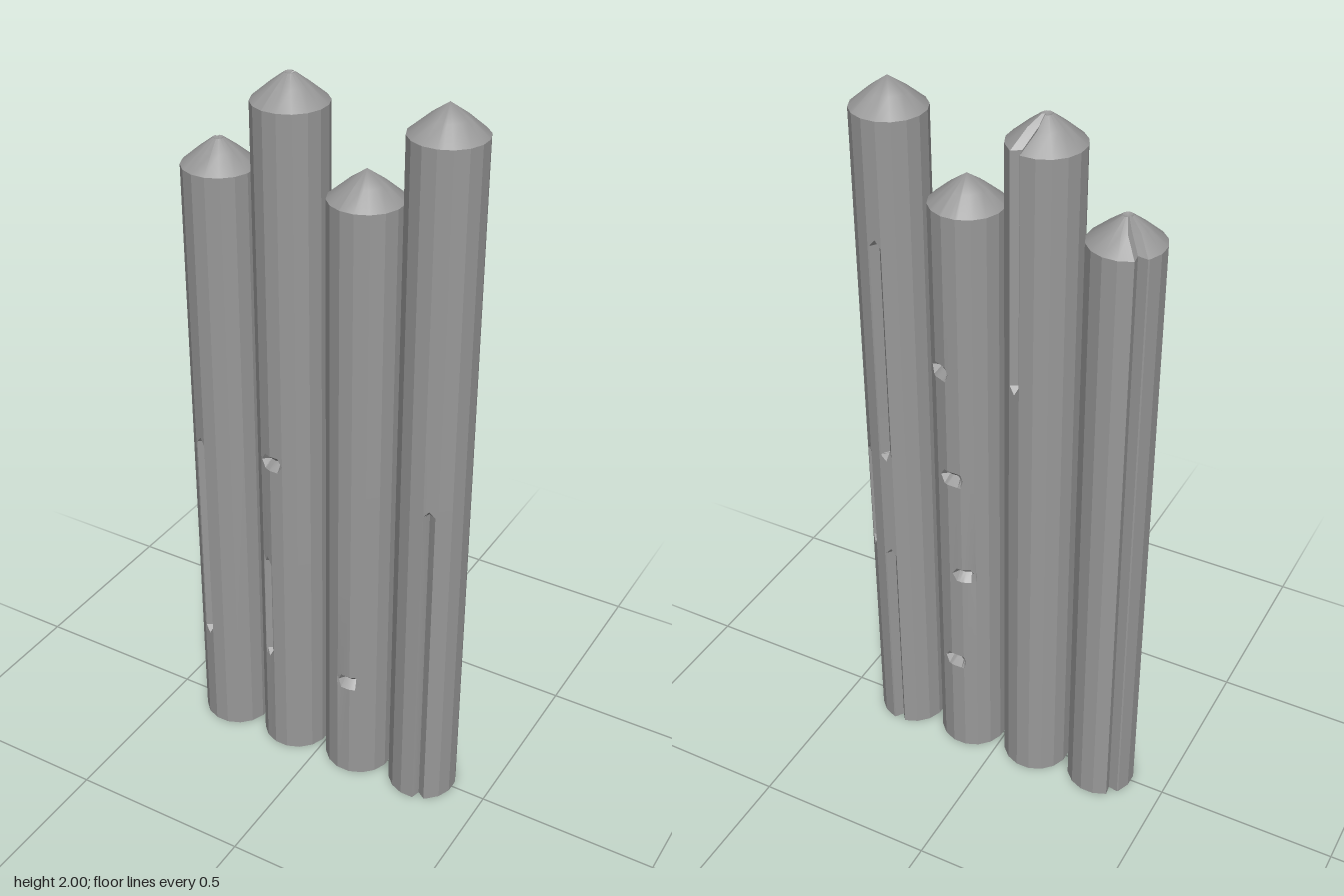
import * as THREE from 'three';
import { toCreasedNormals } from 'three/addons/utils/BufferGeometryUtils.js';

const R = 0.096, SIDES = 16, STEP = Math.PI * 2 / SIDES, TOP = 9;
const HALF = 0.17, DEEP = 0.022;
const rad = THREE.MathUtils.degToRad;
const clamp = v => THREE.MathUtils.clamp(v, 0, 1);
const turn = a => THREE.MathUtils.euclideanModulo(a, Math.PI * 2);
const signed = a => turn(a + Math.PI) - Math.PI;
const unique = list => [...list].sort((p, q) => p - q).filter((v, i, l) => i === 0 || v - l[i - 1] > 1e-4);

// Angles are in degrees from the front (+z) towards +x.
// Upright V groove from y0 to y1; pointed ends unless it runs off the post.
const groove = (deg, y0, y1) => ({
  a: rad(deg), angles: [-HALF, 0, HALF], open: y1 === TOP,
  ys: [y0, y0 + 0.02, y1 - 0.02, y1],
  depth: (da, y) => DEEP * clamp(1 - Math.abs(da) / HALF)
    * (y0 > 0 ? clamp((y - y0) / 0.02) : 1) * clamp((y1 - y) / 0.02)
});
// Short sideways V notch with a six-sided outline.
const notch = (deg, y0) => ({
  a: rad(deg), angles: [-0.37, -0.22, 0.22, 0.37], open: false,
  ys: [y0 - 0.022, y0, y0 + 0.022],
  depth: (da, y) => DEEP * clamp(Math.min(1, (0.37 - Math.abs(da)) / 0.15) - Math.abs(y - y0) / 0.022)
});

// Radius of the many-sided post at angle t (corners at half steps)
const polygonRadius = t => R * Math.cos(STEP / 2) / Math.cos(t - Math.round(t / STEP) * STEP);

// Keeps an open groove from narrowing too fast as the tip shrinks by s
function spread(t, cut, s) {
  const da = signed(t - cut.a), size = Math.abs(da);
  const wide = Math.min(HALF / s, 0.4);
  if (size >= 1) return t;
  const moved = size <= HALF ? size * wide / HALF : wide + (size - HALF) * (1 - wide) / (1 - HALF);
  return cut.a + Math.sign(da) * moved;
}

function postGeometry(rim, cuts) {
  const openCut = cuts.find(c => c.open);
  // Columns: the corners of the post plus the edges of each cut
  const angles = [];
  for (let i = 0; i < SIDES; i++) angles.push((i + 0.5) * STEP);
  cuts.forEach(c => c.angles.forEach(d => angles.push(turn(c.a + d))));
  const cols = unique(angles);
  // Rows of [height, scale]: base, shaft, then the sharpened tip
  const ys = [0, rim];
  cuts.forEach(c => c.ys.forEach(y => { if (y > 0 && y < rim) ys.push(y); }));
  const rows = [[0, 0], ...unique(ys).map(y => [y, 1]), [rim + 0.041, 0.5]];
  if (openCut) rows.push([rim + 0.067, 0.14], [rim + 0.06, 0]);
  else rows.push([rim + 0.075, 0]);

  const pos = [], deep = [], index = [], n = cols.length;
  for (const [y, s] of rows) {
    for (const t of cols) {
      const angle = openCut && s > 0 && s < 1 ? spread(t, openCut, s) : t;
      const cut = cuts.reduce((sum, c) => sum + c.depth(signed(t - c.a), y), 0);
      const r = (polygonRadius(angle) - cut / Math.max(s, 0.5)) * s;
      pos.push(Math.sin(angle) * r, y, Math.cos(angle) * r);
      deep.push(cut);
    }
  }
  for (let i = 0; i < rows.length - 1; i++) {
    for (let j = 0; j < n; j++) {
      const a = i * n + j, b = i * n + (j + 1) % n, c = b + n, d = a + n;
      if (rows[i][1] === 0) index.push(b, c, d);
      else if (rows[i + 1][1] === 0) index.push(a, b, d);
      // the diagonal cuts off the deeper corner, so cuts end in points
      else if (deep[a] + deep[c] > deep[b] + deep[d]) index.push(a, b, d, b, c, d);
      else index.push(a, b, c, a, c, d);
    }
  }
  const g = new THREE.BufferGeometry();
  g.setAttribute('position', new THREE.Float32BufferAttribute(pos, 3));
  g.setIndex(index);
  const result = toCreasedNormals(g, 0.35);
  // Soft shading over the very tip
  const p = result.attributes.position, normal = result.attributes.normal;
  for (let i = 0; i < p.count; i++) {
    if (p.getY(i) > rim && Math.hypot(p.getX(i), p.getZ(i)) < 1e-5) normal.setXYZ(i, 0, 1, 0);
  }
  return result;
}

export function createModel() {
  const group = new THREE.Group();
  group.name = 'postRow';
  const material = new THREE.MeshStandardMaterial({ color: 0x999999 });
  const posts = [
    { name: 'rightOuterPost', x: -0.308, rim: 1.725,
      cuts: [groove(-21, 0.31, 0.972), groove(224, 0, TOP)] },
    { name: 'rightInnerPost', x: -0.103, rim: 1.925,
      cuts: [groove(-23, 0.31, 0.655), notch(-10, 0.965), groove(158, 1.28, TOP)] },
    { name: 'leftInnerPost', x: 0.103, rim: 1.725,
      cuts: [notch(8, 0.325), notch(152, 1.285), notch(174, 0.965), notch(194, 0.645), notch(174, 0.325)] },
    { name: 'leftOuterPost', x: 0.308, rim: 1.925,
      cuts: [groove(20, 0, 0.972), groove(137, 0.635, 0.972), groove(181, 0, 0.655), groove(181, 0.955, 1.615)] }
  ];
  for (const p of posts) {
    const mesh = new THREE.Mesh(postGeometry(p.rim, p.cuts), material);
    mesh.name = p.name;
    mesh.position.x = p.x;
    group.add(mesh);
  }
  return group;
}
